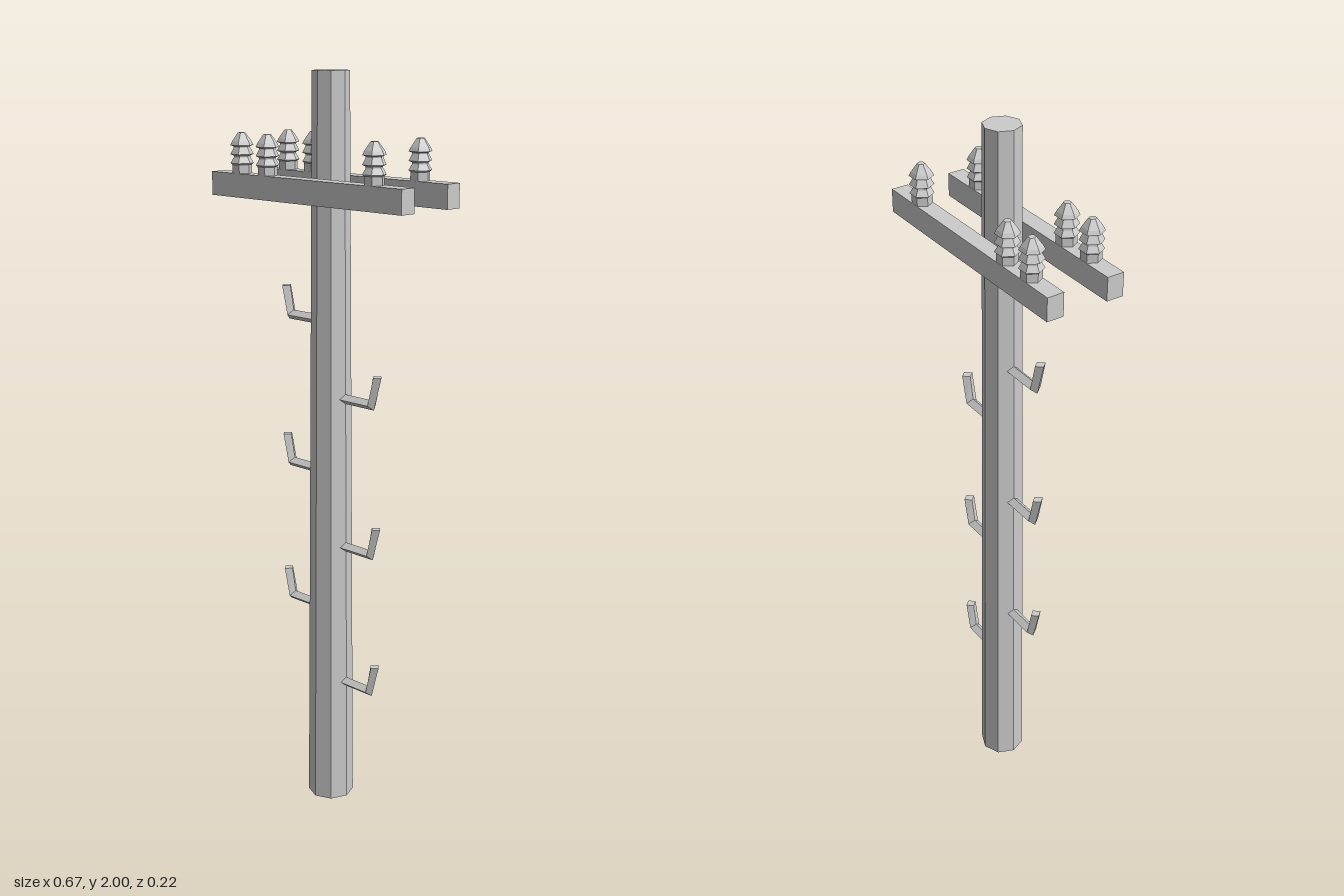
import * as THREE from 'three';

const material = new THREE.MeshStandardMaterial({ color: 0xcccccc, flatShading: true });

function addMesh(parent, name, geometry, x = 0, y = 0, z = 0) {
  const mesh = new THREE.Mesh(geometry, material);
  mesh.name = name;
  mesh.position.set(x, y, z);
  parent.add(mesh);
  return mesh;
}

// Bent climbing peg: diamond cross-sections joined along +x, then up
function pegGeometry() {
  const halfDepth = 0.016;
  // each section: outer/lower corner and inner/upper corner in x, y
  const sections = [
    [0.035, -0.013, 0.035, 0.013],
    [0.156, -0.013, 0.139, 0.013],
    [0.181, 0.077, 0.152, 0.077],
  ];
  const rings = sections.map(([ox, oy, ix, iy]) => {
    const mx = (ox + ix) / 2, my = (oy + iy) / 2;
    return [[ox, oy, 0], [mx, my, -halfDepth], [ix, iy, 0], [mx, my, halfDepth]];
  });
  const pos = [];
  const quad = (a, b, c, d) => pos.push(...a, ...b, ...c, ...a, ...c, ...d);
  for (let s = 0; s < rings.length - 1; s++) {
    for (let i = 0; i < 4; i++) {
      const j = (i + 1) % 4;
      quad(rings[s][i], rings[s][j], rings[s + 1][j], rings[s + 1][i]);
    }
  }
  const [first, last] = [rings[0], rings[rings.length - 1]];
  quad(first[3], first[2], first[1], first[0]);
  quad(last[0], last[1], last[2], last[3]);
  const geometry = new THREE.BufferGeometry();
  geometry.setAttribute('position', new THREE.Float32BufferAttribute(pos, 3));
  geometry.computeVertexNormals();
  return geometry;
}

// Ribbed six-sided insulator standing on y = 0
function insulatorGeometry() {
  const profile = [
    [0, 0], [0.026, 0], [0.026, 0.023], [0.031, 0.027], [0.022, 0.042],
    [0.022, 0.046], [0.031, 0.05], [0.022, 0.067], [0.022, 0.07],
    [0.031, 0.073], [0.026, 0.083], [0.01, 0.105], [0, 0.105],
  ].map(([r, y]) => new THREE.Vector2(r, y));
  return new THREE.LatheGeometry(profile, 6, Math.PI / 6);
}

export function createModel() {
  const model = new THREE.Group();
  model.name = 'utilityPole';

  // Tapered octagonal pole
  addMesh(model, 'pole', new THREE.CylinderGeometry(0.048, 0.063, 2, 8), 0, 1, 0);

  // Two crossarms with insulators on top
  const armGeometry = new THREE.BoxGeometry(0.674, 0.062, 0.046);
  const insulator = insulatorGeometry();
  for (const side of [1, -1]) {
    const arm = new THREE.Group();
    arm.name = side > 0 ? 'frontCrossarm' : 'backCrossarm';
    model.add(arm);
    addMesh(arm, 'beam', armGeometry, 0, 1.705, side * 0.084);
    for (const x of [-0.243, -0.146, 0.228]) {
      addMesh(arm, 'insulator', insulator, x, 1.735, side * 0.084);
    }
  }

  // Alternating climbing pegs
  const peg = pegGeometry();
  for (const y of [0.353, 0.749, 1.161]) addMesh(model, 'leftPeg', peg, 0, y, 0);
  for (const y of [0.556, 0.95, 1.362]) {
    addMesh(model, 'rightPeg', peg, 0, y, 0).rotation.y = Math.PI;
  }
  return model;
}
